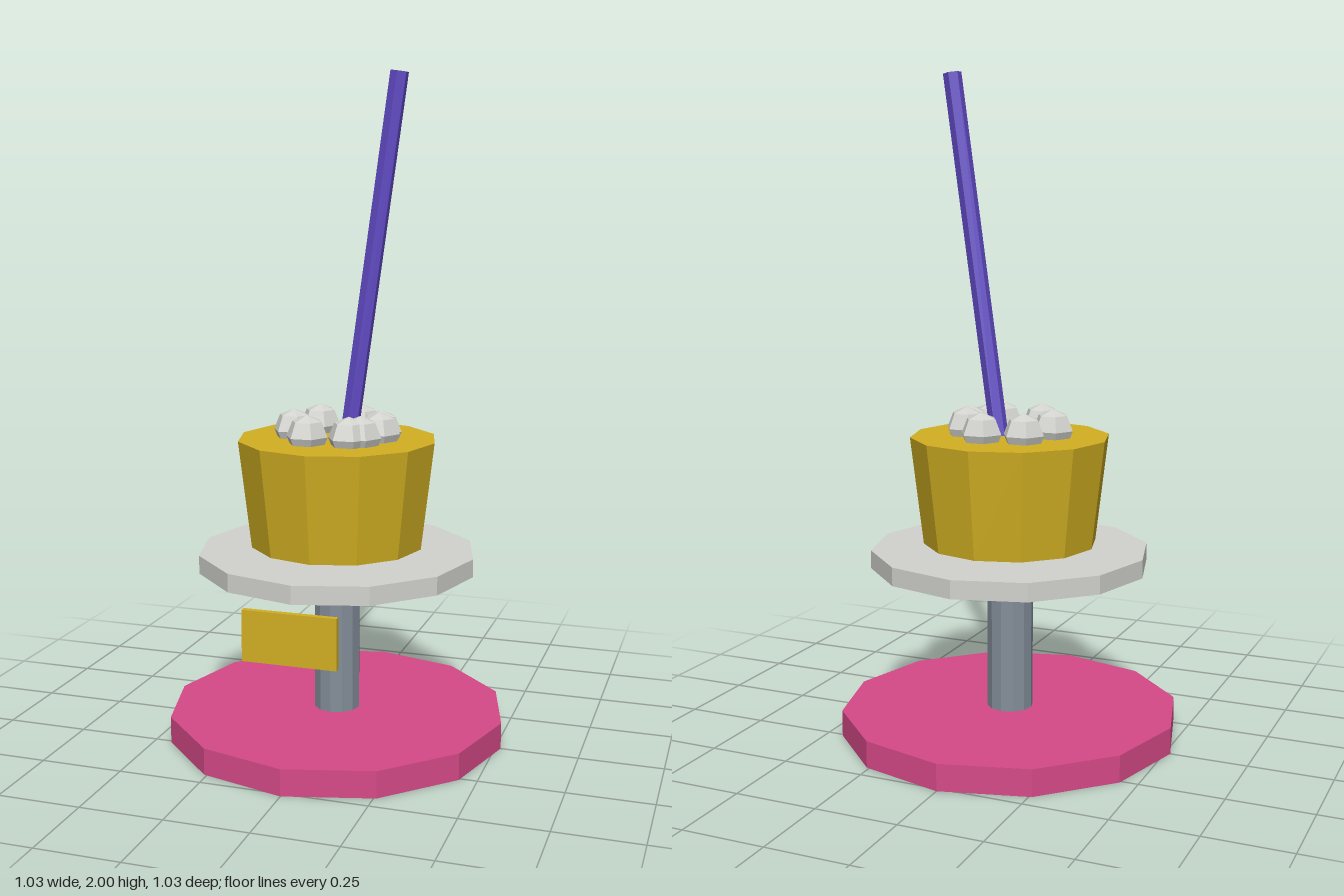
import * as THREE from 'three';

const material = (name, color) => {
  const m = new THREE.MeshStandardMaterial({ color, flatShading: true });
  m.name = name;
  return m;
};

export function createModel() {
  const group = new THREE.Group();
  const pink = material('pink', 0xd64a88);
  const steel = material('steel grey', 0x848e9a);
  const pale = material('pale grey', 0xd2d2ce);
  const gold = material('gold', 0xd2b022);
  const purple = material('purple', 0x624bc8);

  const add = (name, geometry, mat, x, y, z) => {
    const mesh = new THREE.Mesh(geometry, mat);
    mesh.name = name;
    mesh.position.set(x, y, z);
    group.add(mesh);
    return mesh;
  };
  // Upright drum between two heights
  const drum = (name, rTop, rBottom, y0, y1, mat) =>
    add(name, new THREE.CylinderGeometry(rTop, rBottom, y1 - y0, 12), mat, 0, (y0 + y1) / 2, 0);

  // Stand, tray and bucket
  drum('base', 0.517, 0.517, 0, 0.08, pink);
  drum('post', 0.07, 0.07, 0.08, 0.53, steel);
  drum('tray', 0.423, 0.423, 0.525, 0.58, pale);
  drum('bucket', 0.302, 0.263, 0.597, 0.923, gold);

  // Sign plate in front of the post
  add('sign', new THREE.BoxGeometry(0.28, 0.15, 0.018), gold, 0, 0.428, 0.433);

  // Pebbles set around the top, one radian apart
  const pebble = new THREE.SphereGeometry(0.064, 6, 4);
  for (let i = 0; i < 8; i++) {
    add('pebble' + (i + 1), pebble, pale, 0.132 * Math.cos(i), 0.945, 0.132 * Math.sin(i));
  }

  // Leaning rod
  const foot = new THREE.Vector3(0.033, 0.9, 0);
  const tip = new THREE.Vector3(0.187, 1.997, 0);
  const axis = tip.clone().sub(foot);
  const mid = foot.clone().add(tip).multiplyScalar(0.5);
  const rod = add('rod', new THREE.CylinderGeometry(0.0275, 0.0275, axis.length(), 6), purple, mid.x, mid.y, 0);
  rod.rotation.z = -Math.atan2(axis.x, axis.y);

  return group;
}
